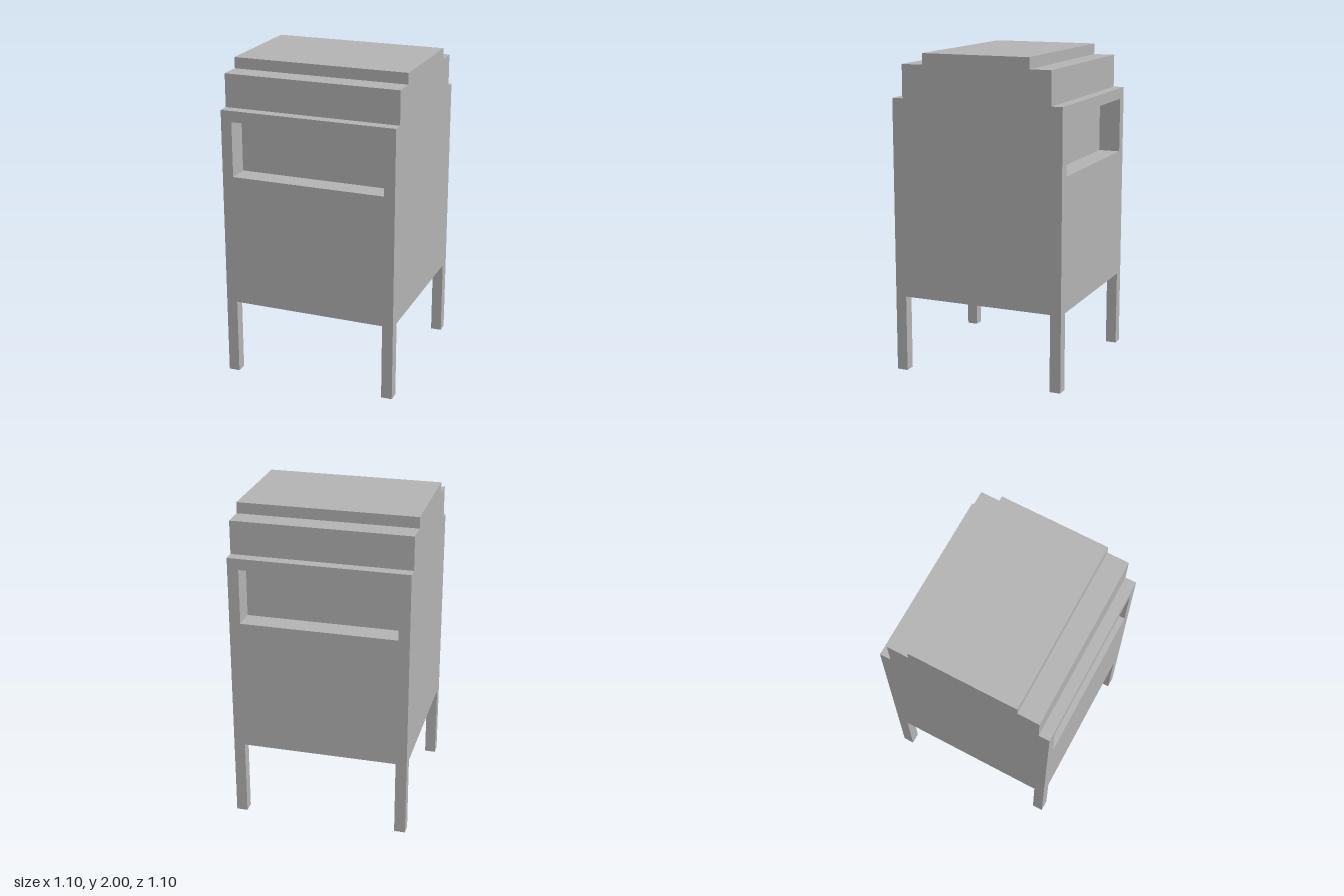
import * as THREE from 'three';

const U = 2 / 29; // one grid step: the cabinet is 16 x 29 x 16 steps

export function createModel() {
  const model = new THREE.Group();
  model.name = 'cabinet';
  const grey = new THREE.MeshStandardMaterial({ color: 0xb2b2b2 });
  grey.name = 'plain grey';

  const add = (name, geometry, x, y, z) => {
    const mesh = new THREE.Mesh(geometry, grey);
    mesh.name = name;
    mesh.position.set(x * U, y * U, z * U);
    model.add(mesh);
  };

  // Half of a side profile [depth, height] mirrored front to back, then extruded along x
  const slab = (half, width) => {
    const outline = [...half, ...half.map(([z, y]) => [-z, y]).reverse()];
    const shape = new THREE.Shape(outline.map(([z, y]) => new THREE.Vector2(z * U, y * U)));
    return new THREE.ExtrudeGeometry(shape, { depth: width * U, bevelEnabled: false })
      .translate(0, 0, -width * U / 2)
      .rotateY(Math.PI / 2);
  };

  const base = [[8, 7]];
  const recess = [[8, 19], [6, 19], [6, 24], [8, 24]];
  const steppedTop = [[8, 25], [7, 25], [7, 28], [5, 28], [5, 29]];

  // Body with an open recess in the front and the back
  add('body', slab([...base, ...recess, ...steppedTop], 14), 0, 0, 0);

  // Side panels close the ends of the recesses; legs stand at the corners
  for (const sx of [-1, 1]) {
    add(sx > 0 ? 'leftPanel' : 'rightPanel', slab([...base, ...steppedTop], 1), sx * 7.5, 0, 0);
    for (const sz of [-1, 1]) {
      add((sz > 0 ? 'front' : 'back') + (sx > 0 ? 'Left' : 'Right') + 'Leg',
        new THREE.BoxGeometry(U, 7 * U, U), sx * 7.5, 3.5, sz * 7.5);
    }
  }
  return model;
}
